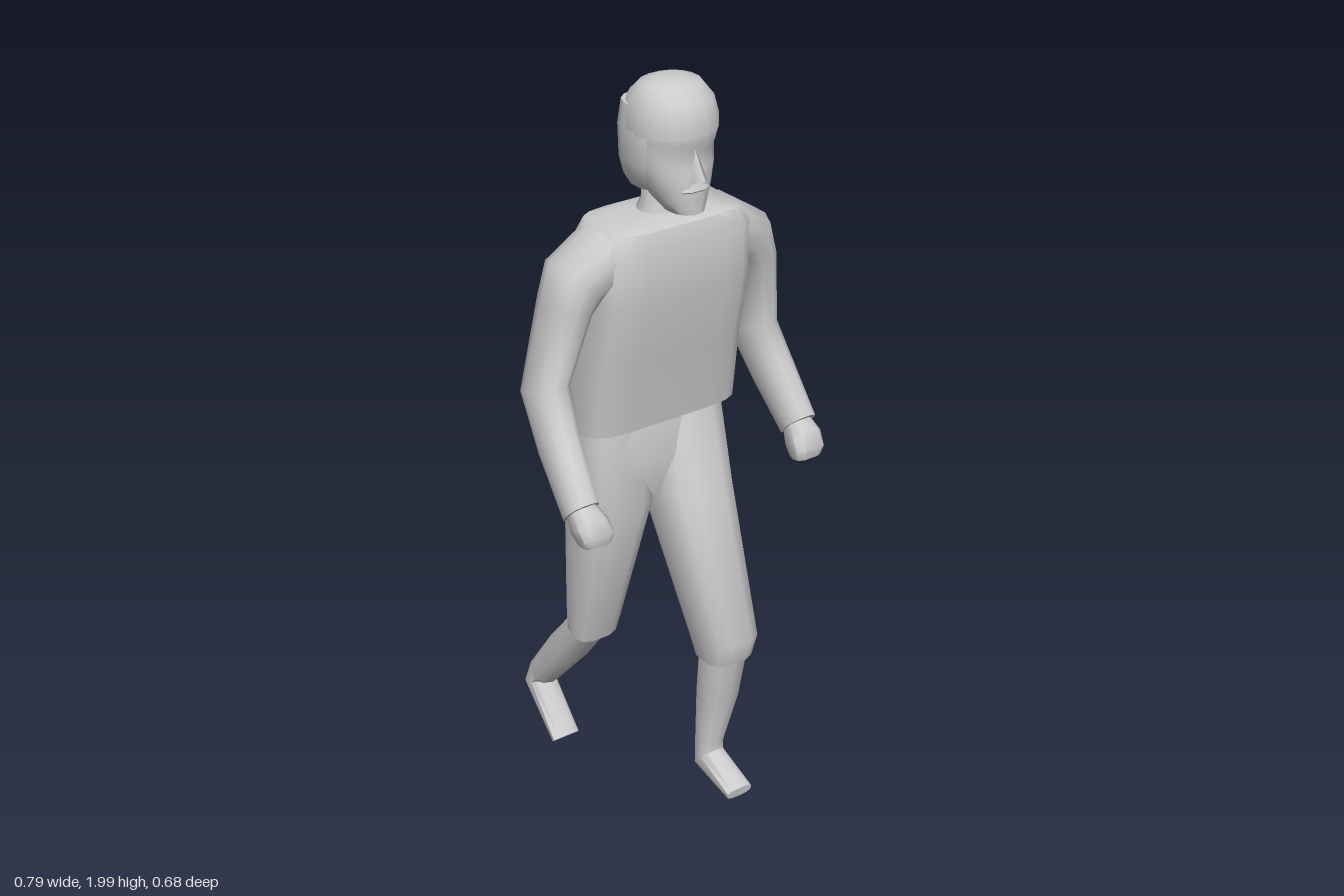
import * as THREE from 'three';
import { toCreasedNormals } from 'three/addons/utils/BufferGeometryUtils.js';

const material = new THREE.MeshStandardMaterial({ color: 0xcccccc, side: THREE.DoubleSide });

// Closed skin over rings [x, y, z, halfWidth, halfDepth, tilt, roll], listed from top to bottom.
// Power 2 gives round rings, higher values squarer ones.
function loft(name, rings, { sides = 12, power = 2.4, crease = 0.9 } = {}) {
  const pos = [], index = [];
  const soft = (v) => Math.sign(v) * Math.abs(v) ** (2 / power);
  for (const [x, y, z, rx, rz, tilt = 0, roll = 0] of rings) {
    const turn = new THREE.Euler(tilt, 0, roll);
    for (let j = 0; j < sides; j++) {
      const a = ((j + 0.5) / sides) * Math.PI * 2;
      const p = new THREE.Vector3(rx * soft(Math.cos(a)), 0, rz * soft(Math.sin(a))).applyEuler(turn);
      pos.push(p.x + x, p.y + y, p.z + z);
    }
  }
  const last = rings.length - 1, top = pos.length / 3, bottom = top + 1;
  pos.push(...rings[0].slice(0, 3), ...rings[last].slice(0, 3));
  for (let j = 0; j < sides; j++) {
    const k = (j + 1) % sides;
    for (let i = 0; i < last; i++) {
      const a = i * sides + j, b = i * sides + k;
      index.push(a, b, a + sides, b, b + sides, a + sides);
    }
    index.push(top, k, j, bottom, last * sides + j, last * sides + k);
  }
  const g = new THREE.BufferGeometry();
  g.setAttribute('position', new THREE.Float32BufferAttribute(pos, 3));
  g.setIndex(index);
  const mesh = new THREE.Mesh(toCreasedNormals(g, crease), material);
  mesh.name = name;
  return mesh;
}

function group(name, ...parts) {
  const g = new THREE.Group();
  g.name = name;
  g.add(...parts);
  return g;
}

// side: +1 left, -1 right; reach pushes the forearm forward
function arm(side, name, reach) {
  const m = (rings) => rings.map(([x, y, z, rx, rz, t = 0, r = 0]) => [x * side, y, z, rx, rz, t, r * side]);
  return group(name,
    loft('sleeve', m([
      [0.17, 1.585, 0.09, 0.07, 0.095, 0, 1.25],
      [0.25, 1.53, 0.08, 0.072, 0.085, 0, 0.8],
      [0.275, 1.47, 0.078, 0.054, 0.08, 0, 0.3],
      [0.315, 1.25, 0.047, 0.05, 0.076, -0.35],
      [0.335, 1.14, 0.11 + reach / 2, 0.047, 0.066, -0.7],
      [0.352, 1.015, 0.2 + reach, 0.045, 0.05, -0.8],
    ]), { crease: 1.1 }),
    loft('hand', m([
      [0.35, 1.02, 0.195 + reach, 0.034, 0.035, -0.8],
      [0.347, 0.99, 0.227 + reach, 0.046, 0.042, -0.75],
      [0.343, 0.962, 0.25 + reach, 0.046, 0.032, -0.5],
      [0.342, 0.945, 0.25 + reach, 0.038, 0.022, -0.2],
    ]), { sides: 8, power: 3 }));
}

export function createModel() {
  const model = group('walkingMan');

  // Shirt with flat hem
  model.add(loft('shirt', [
    [0, 1.665, 0.088, 0.11, 0.065],
    [0, 1.652, 0.088, 0.185, 0.1],
    [0, 1.61, 0.09, 0.212, 0.11],
    [0, 1.47, 0.083, 0.216, 0.113],
    [0, 1.3, 0.05, 0.219, 0.11],
    [0.003, 1.1, 0.025, 0.224, 0.1],
  ], { sides: 16, power: 5 }));

  model.add(arm(1, 'leftArm', 0), arm(-1, 'rightArm', 0.055));

  // Trousers
  model.add(loft('hips', [
    [0, 1.14, 0.02, 0.2, 0.085],
    [-0.01, 1, 0.035, 0.2, 0.1],
    [-0.02, 0.89, 0.05, 0.1, 0.06],
  ], { sides: 16, power: 3 }));

  // Left leg steps forward
  model.add(group('leftLeg',
    loft('trouserLeg', [
      [0.1, 1.12, 0.025, 0.1, 0.085],
      [0.085, 0.88, 0.08, 0.104, 0.112, -0.2],
      [0.094, 0.49, 0.242, 0.077, 0.082, -0.2],
      [0.095, 0.435, 0.238, 0.068, 0.065],
    ], { power: 3 }),
    loft('shin', [
      [0.098, 0.46, 0.237, 0.06, 0.06],
      [0.093, 0.3, 0.22, 0.053, 0.052],
      [0.086, 0.14, 0.197, 0.037, 0.034],
      [0.086, 0.085, 0.197, 0.037, 0.05, -0.8],
      [0.086, 0.046, 0.335, 0.04, 0.015, -1.4],
    ], { sides: 10, power: 2.6 })));

  // Right leg trails, standing on its toes
  model.add(group('rightLeg',
    loft('trouserLeg', [
      [-0.1, 1.12, 0.025, 0.1, 0.085],
      [-0.122, 0.88, 0.032, 0.102, 0.1],
      [-0.123, 0.5, -0.04, 0.07, 0.058, 0.2],
      [-0.123, 0.445, -0.05, 0.066, 0.048, 0.4],
    ], { power: 3 }),
    loft('shin', [
      [-0.125, 0.47, -0.043, 0.055, 0.045, 0.5],
      [-0.127, 0.33, -0.155, 0.054, 0.05, 0.65],
      [-0.132, 0.185, -0.272, 0.04, 0.043, 0.5],
      [-0.132, 0.145, -0.3, 0.04, 0.042, -0.35],
      [-0.132, 0.016, -0.174, 0.042, 0.014, -0.78],
    ], { sides: 10, power: 2.6 })));

  // Head: skull with face relief, hair shell and small features
  const nose = new THREE.Mesh(new THREE.ConeGeometry(0.024, 0.075, 4), material);
  nose.name = 'nose';
  nose.position.set(0, 1.812, 0.228);
  nose.rotation.x = -0.2;
  model.add(group('head',
    loft('neck', [[0, 1.76, 0.088, 0.05, 0.042], [0, 1.69, 0.088, 0.052, 0.042], [0, 1.64, 0.088, 0.075, 0.06]]),
    loft('face', [
      [0, 1.97, 0.12, 0.07, 0.08],
      [0, 1.91, 0.125, 0.098, 0.105],
      [0, 1.865, 0.127, 0.099, 0.109],
      [0, 1.84, 0.122, 0.099, 0.098],
      [0, 1.8, 0.125, 0.096, 0.103],
      [0, 1.755, 0.14, 0.08, 0.092],
      [0, 1.715, 0.155, 0.06, 0.078],
      [0, 1.69, 0.175, 0.044, 0.057],
    ], { sides: 16, power: 2.2, crease: 1.2 }),
    loft('crownHair', [
      [0, 2, 0.12, 0.035, 0.03],
      [0, 1.988, 0.12, 0.073, 0.066],
      [0, 1.955, 0.121, 0.098, 0.1],
      [0, 1.91, 0.122, 0.108, 0.113],
      [0, 1.878, 0.122, 0.109, 0.112],
    ], { sides: 16, power: 2.2 }),
    loft('backHair', [
      [0, 1.94, 0.1, 0.1, 0.085],
      [0, 1.88, 0.1, 0.109, 0.09],
      [0, 1.8, 0.098, 0.106, 0.085],
      [0, 1.755, 0.09, 0.092, 0.072],
      [0, 1.73, 0.083, 0.075, 0.058],
    ], { sides: 16, power: 2.8 }),
    nose,
    loft('moustache', [
      [0, 1.767, 0.216, 0.022, 0.016],
      [0, 1.75, 0.215, 0.042, 0.022],
      [0, 1.742, 0.212, 0.038, 0.016],
    ], { sides: 8 })));

  return model;
}
